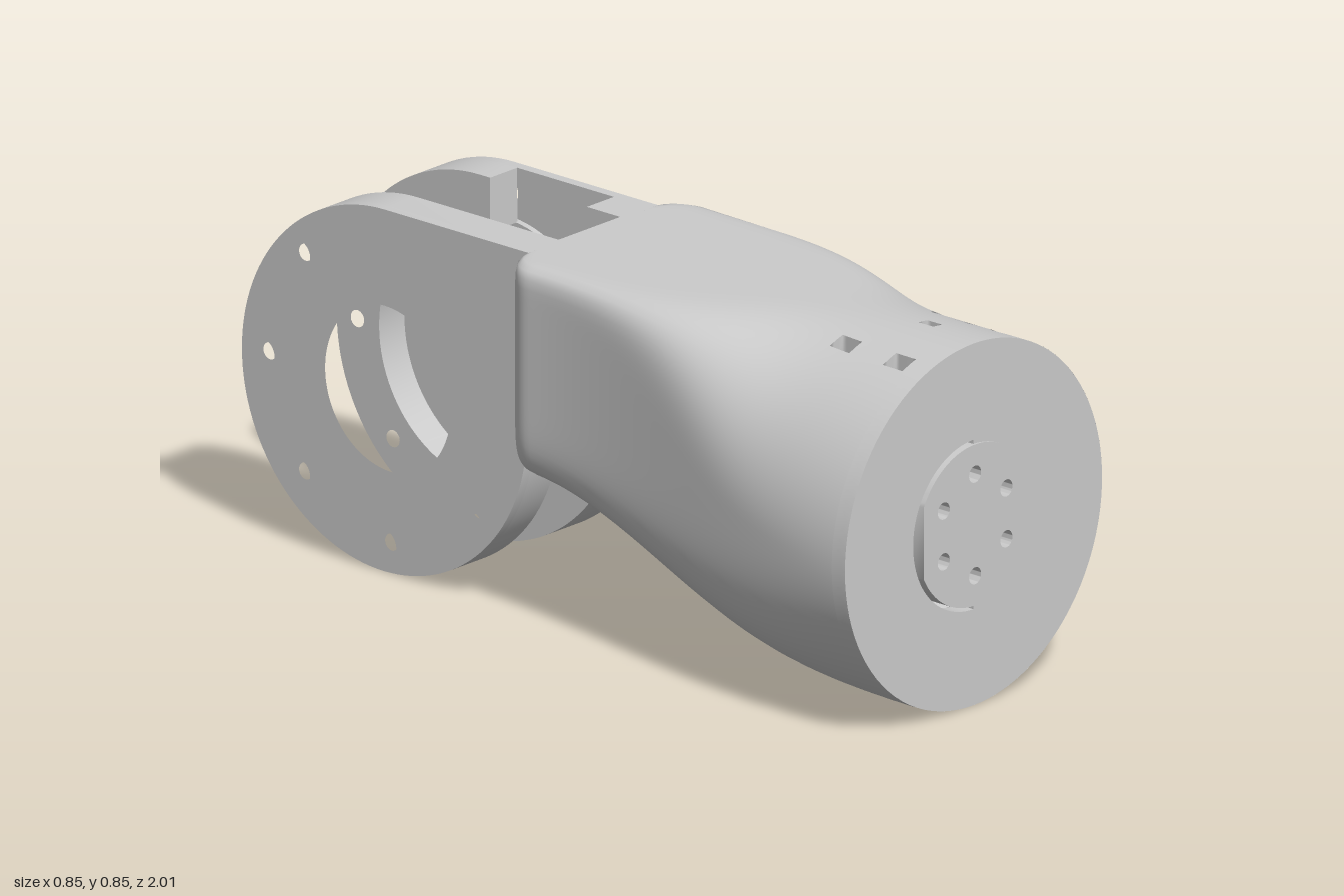
import * as THREE from 'three';
import { toCreasedNormals } from 'three/addons/utils/BufferGeometryUtils.js';

const R = 0.427;              // radius of the round front end and of the fork discs
const TOP = 2 * R;
const BACK = -0.15;           // z where the housing ends and the fork begins
const PIVOT = { x: 0.573, y: R }; // fork disc centre, x measured towards the back
const NU = 120, NV = 92;

const grey = new THREE.MeshStandardMaterial({ color: 0xcccccc });
const greyThin = new THREE.MeshStandardMaterial({ color: 0xcccccc, side: THREE.DoubleSide });
const smooth = THREE.MathUtils.smoothstep;

function add(parent, name, geometry, material = grey) {
  const mesh = new THREE.Mesh(geometry, material);
  mesh.name = name;
  parent.add(mesh);
  return mesh;
}

function circlePath(x, y, r) {
  return new THREE.Path().absarc(x, y, r, 0, Math.PI * 2, true);
}

function rectPath(x0, y0, x1, y1) {
  return new THREE.Path([[x0, y0], [x0, y1], [x1, y1], [x1, y0]].map(p => new THREE.Vector2(...p)));
}

function extrude(shape, depth) {
  const g = new THREE.ExtrudeGeometry(shape, { depth, bevelEnabled: false, curveSegments: 48 });
  return toCreasedNormals(g, 0.6);
}

// Housing surface: a circle at the front blending to a squared section at the back
function housingPoint(deg, z) {
  const k = 1 - smooth(z, BACK, 1);
  const bottom = 0.345 * k;
  let rx = 0.3 + (R - 0.3) * smooth(z, -0.05, 1);
  if (z < -0.07) rx = 0.215 + 0.085 * Math.sqrt(Math.max(0, 1 - ((z + 0.07) / 0.08) ** 2));
  const a = THREE.MathUtils.degToRad(deg), c = Math.cos(a), s = Math.sin(a);
  const p = s > 0 ? 2 + 18 * k ** 3 : 2 + 5 * k;
  const r = (Math.abs(c) ** p + Math.abs(s) ** p) ** (-1 / p);
  const ry = (TOP - bottom) / 2;
  return new THREE.Vector3(rx * r * c, bottom + ry + ry * r * s, z);
}

// Pockets in the housing: angle, z, half angle, half length, round or square, direction of the bore
const pockets = [
  [59.2, 0.92, 9.5, 0.036, true, [-0.09, 0, 0]],
  [59.2, 0.75, 9.5, 0.036, true, [-0.09, 0, 0]],
  [-49.6, 0.92, 7.6, 0.036, true, [-0.09, 0, 0]],
  [-58.4, 0.75, 9.3, 0.036, true, [-0.09, 0, 0]],
  [110.2, 0.91, 3.2, 0.03, false, [0, -0.06, 0]],
  [110.2, 0.745, 3.2, 0.03, false, [0, -0.06, 0]],
  [84.5, 0.835, 2, 0.022, false, [0, -0.05, 0]],
  [67.6, 0.835, 2.2, 0.022, false, [0, -0.05, 0]],
  [-110.2, 0.91, 3.2, 0.03, false, [0, 0.06, 0]],
  [-110.2, 0.745, 3.2, 0.03, false, [0, 0.06, 0]],
];

function housingGeometry() {
  const pos = [], index = [], removed = new Set();
  const du = 360 / NU, dz = (1 - BACK) / NV;
  const wrap = i => (i + NU) % NU;
  const at = (i, j) => j * NU + wrap(i);
  const push = v => pos.push(v.x, v.y, v.z) / 3 - 1;
  for (let j = 0; j <= NV; j++)
    for (let i = 0; i < NU; i++) push(housingPoint(i * du, 1 - j * dz));

  for (const [deg, z, hu, hz, round, dir] of pockets) {
    const i0 = Math.floor((deg - hu) / du), i1 = Math.ceil((deg + hu) / du);
    const j0 = Math.floor((1 - z - hz) / dz), j1 = Math.ceil((1 - z + hz) / dz);
    for (let j = j0; j < j1; j++) for (let i = i0; i < i1; i++) removed.add(at(i, j));
    // border of the removed grid cells
    const loop = [];
    for (let i = i0; i < i1; i++) loop.push([i, j0]);
    for (let j = j0; j < j1; j++) loop.push([i1, j]);
    for (let i = i1; i > i0; i--) loop.push([i, j1]);
    for (let j = j1; j > j0; j--) loop.push([i0, j]);
    // outline of the pocket, then its wall and floor
    const offset = new THREE.Vector3(...dir), centre = new THREE.Vector3();
    const rim = loop.map(([i, j]) => {
      let u = (2 * i - i0 - i1) / (i1 - i0), v = (2 * j - j0 - j1) / (j1 - j0);
      const len = round ? Math.hypot(u, v) : 1;
      return housingPoint(deg + hu * u / len, z - hz * v / len);
    });
    const rimIds = rim.map(push), wallIds = rim.map(push);
    const deepIds = rim.map(p => push(p.clone().add(offset)));
    const floorIds = rim.map(p => push(p.clone().add(offset)));
    rim.forEach(p => centre.addScaledVector(p, 1 / rim.length));
    const mid = push(centre.add(offset));
    loop.forEach(([i, j], n) => {
      const m = (n + 1) % loop.length;
      const a = at(i, j), b = at(...loop[m]);
      index.push(a, rimIds[n], b, b, rimIds[n], rimIds[m]);
      index.push(wallIds[n], deepIds[n], wallIds[m], wallIds[m], deepIds[n], deepIds[m]);
      index.push(floorIds[n], mid, floorIds[m]);
    });
  }
  for (let j = 0; j < NV; j++)
    for (let i = 0; i < NU; i++) {
      if (removed.has(at(i, j))) continue;
      const a = at(i, j), b = at(i + 1, j), c = at(i, j + 1), d = at(i + 1, j + 1);
      index.push(a, c, b, b, c, d);
    }
  const g = new THREE.BufferGeometry();
  g.setAttribute('position', new THREE.Float32BufferAttribute(pos, 3));
  g.setIndex(index);
  g.computeVertexNormals();
  return g;
}

// Fork plate outline: disc with a squared upper front corner
function plateShape(boltRadius, centreRadius) {
  const s = new THREE.Shape();
  s.moveTo(0.14, TOP);
  s.lineTo(PIVOT.x, TOP);
  s.absarc(PIVOT.x, PIVOT.y, R, Math.PI / 2, -Math.PI, true);
  s.lineTo(0.14, R);
  s.closePath();
  s.holes.push(circlePath(PIVOT.x, PIVOT.y, centreRadius));
  return addBoltHoles(s, boltRadius);
}

// Same outline with a slanted notch that opens the centre hole to the top
function notchedShape(boltRadius, r) {
  const s = new THREE.Shape();
  s.moveTo(0.14, TOP);
  s.lineTo(0.25, TOP);
  const a = Math.atan2(0.221, -0.203), b = Math.atan2(0.298, -0.033);
  s.absarc(PIVOT.x, PIVOT.y, r, a, b + Math.PI * 2, false);
  s.lineTo(0.54, TOP);
  s.lineTo(PIVOT.x, TOP);
  s.absarc(PIVOT.x, PIVOT.y, R, Math.PI / 2, -Math.PI, true);
  s.lineTo(0.14, R);
  s.closePath();
  return addBoltHoles(s, boltRadius);
}

function addBoltHoles(shape, r) {
  for (let k = 0; k < 8; k++) {
    const a = k * Math.PI / 4;
    shape.holes.push(circlePath(PIVOT.x + 0.365 * Math.cos(a), PIVOT.y + 0.365 * Math.sin(a), r));
  }
  return shape;
}

// Extrudes a side-on shape between two x positions
function sidePlate(shape, x0, x1) {
  return extrude(shape, x1 - x0).rotateY(Math.PI / 2).translate(x0, 0, 0);
}

export function createModel() {
  const model = new THREE.Group();
  model.name = 'armLink';

  add(model, 'housing', housingGeometry(), greyThin);

  // Front wall with a hole that is slightly wider on one half
  const front = new THREE.Shape().absarc(0, R, R, 0, Math.PI * 2, false);
  const socket = new THREE.Path().absarc(0, R, 0.19, -Math.PI / 2, Math.PI / 2, false);
  socket.absarc(0, R, 0.2, Math.PI / 2, Math.PI * 1.5, false);
  front.holes.push(socket);
  add(model, 'frontWall', extrude(front, 0.04).translate(0, 0, 0.96));

  // Hub with a flat side and a ring of six screw holes
  const hubOutline = () => {
    const flat = Math.acos(-0.17 / 0.19);
    return new THREE.Shape().absarc(0, R, 0.19, -flat, flat, false);
  };
  const hub = hubOutline();
  for (let k = 0; k < 6; k++) {
    const a = Math.PI / 6 + k * Math.PI / 3;
    hub.holes.push(circlePath(0.12 * Math.cos(a), R + 0.12 * Math.sin(a), 0.02));
  }
  add(model, 'hubFace', extrude(hub, 0.035).translate(0, 0, 0.97));
  add(model, 'hubCore', extrude(hubOutline(), 0.08).translate(0, 0, 0.89));

  // Rear wall with a cable window between the fork plates
  const ring = [];
  for (let i = 0; i < NU; i++) {
    const p = housingPoint(i * 360 / NU, BACK);
    ring.push(new THREE.Vector2(p.x, p.y));
  }
  const rear = new THREE.Shape(ring);
  rear.holes.push(rectPath(-0.1, 0.45, 0.1, 0.82));
  add(model, 'rearWall', extrude(rear, 0.03).translate(0, 0, BACK));

  // Left fork plate: notched inner layer, outer layer with counterbores and a square hole
  const leftFork = new THREE.Group();
  leftFork.name = 'leftFork';
  model.add(leftFork);
  add(leftFork, 'innerLayer', sidePlate(notchedShape(0.02, 0.3), 0.1, 0.19));
  const outer = plateShape(0.036, 0.308);
  outer.holes.push(rectPath(0.208, 0.748, 0.252, 0.792));
  add(leftFork, 'outerLayer', sidePlate(outer, 0.19, 0.215));
  const disc = (r, sides, x0, x1) => new THREE.CylinderGeometry(r, r, x1 - x0, sides)
    .rotateZ(-Math.PI / 2).translate((x0 + x1) / 2, PIVOT.y, -PIVOT.x);
  add(leftFork, 'coverDisc', disc(0.302, 80, 0.184, 0.222));
  const bolt = new THREE.CylinderGeometry(0.087, 0.087, 0.065, 10).toNonIndexed();
  bolt.computeVertexNormals();
  bolt.rotateY(Math.PI / 10).rotateZ(-Math.PI / 2).translate(0.248, PIVOT.y, -PIVOT.x);
  add(leftFork, 'pivotBolt', bolt);

  // Right fork plate: plain ring with counterbored holes
  const rightFork = new THREE.Group();
  rightFork.name = 'rightFork';
  model.add(rightFork);
  add(rightFork, 'innerLayer', sidePlate(plateShape(0.02, 0.2), -0.19, -0.105));
  add(rightFork, 'outerLayer', sidePlate(plateShape(0.036, 0.2), -0.215, -0.19));

  return model;
}
